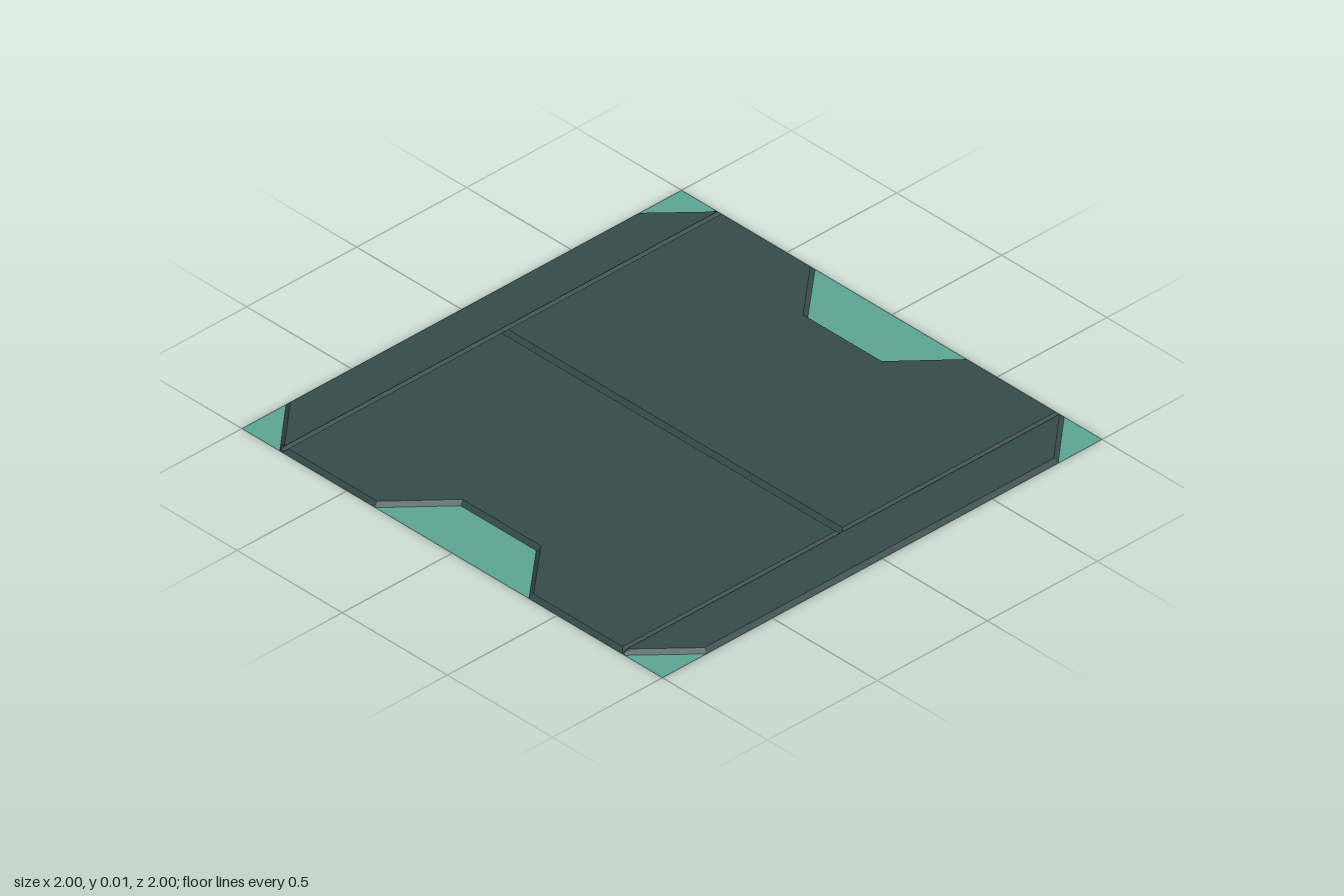
import * as THREE from 'three';

const HEIGHT = 0.015;
const BEVEL = 0.015;

// Moves each corner of a counter-clockwise outline inward by d
function inset(pts, d) {
  const n = pts.length;
  const normal = (a, b) => new THREE.Vector2(a.y - b.y, b.x - a.x).normalize();
  return pts.map((p, i) => {
    const n1 = normal(pts[(i + n - 1) % n], p);
    const n2 = normal(p, pts[(i + 1) % n]);
    return p.clone().addScaledVector(n1.clone().add(n2), d / (1 + n1.dot(n2)));
  });
}

const toPoints = (list) => list.map(([x, y]) => new THREE.Vector2(x, y));

// Flat face, turned to lie in the ground plane
function flatFace(pts, height) {
  return new THREE.ShapeGeometry(new THREE.Shape(pts)).translate(0, 0, height).rotateX(-Math.PI / 2);
}

// Sloping rim between the lower and upper outlines
function bevelRim(lower, upper) {
  const pos = [];
  lower.forEach((a, i) => {
    const j = (i + 1) % lower.length;
    const b = lower[j], c = upper[j], d = upper[i];
    pos.push(a.x, a.y, 0, b.x, b.y, 0, c.x, c.y, HEIGHT);
    pos.push(a.x, a.y, 0, c.x, c.y, HEIGHT, d.x, d.y, HEIGHT);
  });
  const geo = new THREE.BufferGeometry();
  geo.setAttribute('position', new THREE.Float32BufferAttribute(pos, 3));
  geo.rotateX(-Math.PI / 2);
  geo.computeVertexNormals();
  return geo;
}

export function createModel() {
  const model = new THREE.Group();
  model.name = 'floorTile';

  const plateMat = new THREE.MeshStandardMaterial({ color: 0x364b4b, side: THREE.DoubleSide });
  plateMat.name = 'darkSlate';
  const insetMat = new THREE.MeshStandardMaterial({ color: 0x5ca596, side: THREE.DoubleSide });
  insetMat.name = 'teal';

  const addMesh = (parent, name, geo, mat) => {
    const mesh = new THREE.Mesh(geo, mat);
    mesh.name = name;
    parent.add(mesh);
  };

  // Open-bottomed plate with bevelled edges
  const addPlate = (parent, name, list) => {
    const lower = toPoints(list);
    const upper = inset(lower, BEVEL);
    const plate = new THREE.Group();
    plate.name = name;
    addMesh(plate, name + 'Top', flatFace(upper, HEIGHT), plateMat);
    addMesh(plate, name + 'Bevel', bevelRim(lower, upper), plateMat);
    parent.add(plate);
  };

  // Each half holds one main panel, one end strip and its insets; the other half is turned around
  ['left', 'right'].forEach((side, i) => {
    const half = new THREE.Group();
    half.name = side + 'Half';
    half.rotation.y = i * Math.PI;

    addPlate(half, 'mainPanel', [
      [0, -0.81], [1, -0.81], [1, -0.365], [0.79, -0.18],
      [0.79, 0.18], [1, 0.365], [1, 0.81], [0, 0.81],
    ]);
    addPlate(half, 'endStrip', [[-0.8, -1], [0.8, -1], [1, -0.82], [1, -0.81], [-1, -0.81], [-1, -0.82]]);

    // Recessed teal insets
    addMesh(half, 'sideInset', flatFace(toPoints([
      [1, -0.365], [1, 0.365], [0.79, 0.18], [0.79, -0.18],
    ]), 0), insetMat);
    addMesh(half, 'cornerInsetA', flatFace(toPoints([[0.8, -1], [1, -1], [1, -0.82]]), 0), insetMat);
    addMesh(half, 'cornerInsetB', flatFace(toPoints([[-0.8, -1], [-1, -0.82], [-1, -1]]), 0), insetMat);

    model.add(half);
  });

  return model;
}
